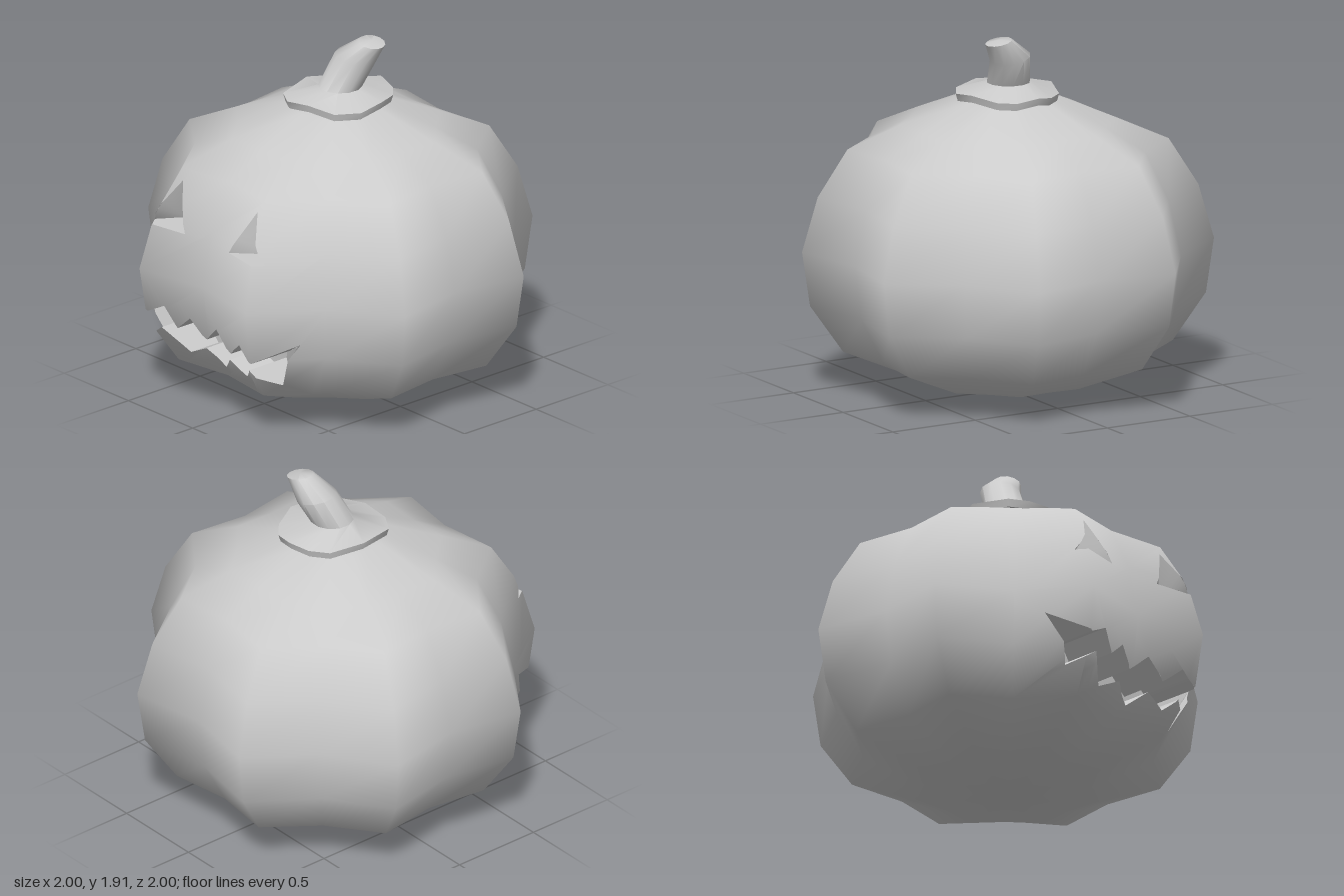
import * as THREE from 'three';
import { toCreasedNormals } from 'three/addons/utils/BufferGeometryUtils.js';

const V = (x, y, z = 0) => new THREE.Vector3(x, y, z);
const material = () => new THREE.MeshStandardMaterial({ color: 0xcccccc, side: THREE.DoubleSide });

function makeMesh(name, geometry) {
  const mesh = new THREE.Mesh(geometry, material());
  mesh.name = name;
  return mesh;
}

// Skin a stack of closed loops (bottom to top); a loop of one point closes an end
function loft(loops) {
  const n = Math.max(...loops.map((l) => l.length));
  const positions = [], index = [];
  loops.forEach((l) => {
    for (let j = 0; j < l.length; j++) positions.push(...l[j].toArray());
  });
  let start = 0;
  for (let i = 0; i < loops.length - 1; i++) {
    const lo = loops[i].length, hi = loops[i + 1].length;
    for (let j = 0; j < n; j++) {
      const k = (j + 1) % n;
      const a = start + (j % lo), b = start + (k % lo);
      const c = start + lo + (k % hi), d = start + lo + (j % hi);
      if (lo > 1) index.push(a, b, c);
      if (hi > 1) index.push(a, c, d);
    }
    start += lo;
  }
  const g = new THREE.BufferGeometry();
  g.setAttribute('position', new THREE.Float32BufferAttribute(positions, 3));
  g.setIndex(index);
  g.computeVertexNormals();
  return g;
}

// Eight-ribbed body: odd columns are ribs, even columns are grooves
function bodyTriangles() {
  const rings = [[0.455, 0.065, 0.9], [0.866, 0.23, 0.87], [1.04, 0.48, 0.856], [1.082, 0.77, 0.856],
    [1.0, 1.06, 0.86], [0.844, 1.31, 0.87], [0.574, 1.43, 0.9], [0.26, 1.56, 0.95]];
  const loops = rings.map(([r, y, groove]) => Array.from({ length: 16 }, (_, j) => {
    const t = j * Math.PI / 8, q = j % 2 ? r : r * groove;
    return V(q * Math.sin(t), y, q * Math.cos(t));
  }));
  const g = loft([[V(0, 0, 0)], ...loops, [V(0, 1.6, 0)]]).toNonIndexed();
  const { position, normal } = g.attributes, tris = [];
  for (let i = 0; i < position.count; i += 3) {
    tris.push([0, 1, 2].map((k) => ({
      p: new THREE.Vector3().fromBufferAttribute(position, i + k),
      n: new THREE.Vector3().fromBufferAttribute(normal, i + k),
    })));
  }
  return tris;
}

const cross2 = (a, b, p) => (b.x - a.x) * (p.y - a.y) - (b.y - a.y) * (p.x - a.x);

// Keep the part of a polygon on one side of the line a-b, seen from the front
function clip(poly, a, b, sign) {
  const out = [];
  poly.forEach((v, i) => {
    const w = poly[(i + 1) % poly.length];
    const dv = sign * cross2(a, b, v.p), dw = sign * cross2(a, b, w.p);
    if (dv >= 0) out.push(v);
    if (dv * dw < 0) {
      const t = dv / (dv - dw);
      out.push({ p: v.p.clone().lerp(w.p, t), n: v.n.clone().lerp(w.n, t) });
    }
  });
  return out;
}

function area(poly) {
  let s = 0;
  for (let i = 1; i < poly.length - 1; i++) s += cross2(poly[0].p, poly[i].p, poly[i + 1].p);
  return Math.abs(s);
}

// Remove a convex hole from a polygon, giving the remaining pieces
function subtract(poly, hole) {
  let inside = poly;
  const pieces = [];
  for (let i = 0; i < hole.length; i++) {
    const a = hole[i], b = hole[(i + 1) % hole.length];
    const outside = clip(inside, a, b, -1);
    if (outside.length > 2 && area(outside) > 1e-9) pieces.push(outside);
    inside = clip(inside, a, b, 1);
    if (inside.length < 3 || area(inside) < 1e-9) return [poly];
  }
  return pieces;
}

function triangulate(points) {
  return THREE.ShapeUtils.triangulateShape(points, []).map((f) => {
    const t = f.map((i) => points[i]);
    return cross2(t[0], t[1], t[2]) < 0 ? t.reverse() : t;
  });
}

// Depth of the front surface at (x, y)
function frontDepth(tris, x, y) {
  const q = V(x, y);
  for (const [a, b, c] of tris) {
    const total = cross2(a.p, b.p, c.p);
    if (total <= 1e-9) continue;
    const u = cross2(b.p, c.p, q) / total, v = cross2(c.p, a.p, q) / total, w = 1 - u - v;
    if (Math.min(u, v, w) >= -1e-6) return u * a.p.z + v * b.p.z + w * c.p.z;
  }
  return 0.7;
}

// Inner walls running from the hole's edge on the skin to the given back points
function pocketWalls(outline, depthAt, backAt) {
  const out = [], steps = 6;
  outline.forEach((a, i) => {
    const b = outline[(i + 1) % outline.length];
    for (let s = 0; s < steps; s++) {
      const [p, q] = [s, s + 1].map((k) => a.clone().lerp(b, k / steps));
      const pb = backAt(p), qb = backAt(q);
      p.z = depthAt(p.x, p.y);
      q.z = depthAt(q.x, q.y);
      out.push(p, q, qb, p, qb, pb);
    }
  });
  return out;
}

const fromPoints = (points) => toCreasedNormals(new THREE.BufferGeometry().setFromPoints(points), 0.4);

export function createModel() {
  const group = new THREE.Group();
  const tris = bodyTriangles();
  const front = tris.filter((t) => t.every((v) => v.p.z > 0.05));
  const depthAt = (x, y) => frontDepth(front, x, y);
  const toPoints = (list) => list.map(([x, y]) => V(x, y));

  // Mouth outline in three parts, so its back can fold toward both corners
  const mouthLeft = toPoints([[0.32, 0.385], [0.33, 0.4], [0.42, 0.3], [0.56, 0.57], [0.4, 0.47], [0.35, 0.51]]);
  const mouthRight = toPoints([[-0.35, 0.55], [-0.39, 0.53], [-0.55, 0.64], [-0.43, 0.37], [-0.32, 0.45]]);
  const upper = toPoints([[0.31, 0.55], [0.2, 0.455], [0.09, 0.56], [-0.02, 0.46], [-0.11, 0.56], [-0.2, 0.48], [-0.275, 0.59]]);
  const lower = toPoints([[-0.2, 0.32], [-0.06, 0.39], [0.04, 0.3], [0.14, 0.39], [0.26, 0.33]]);
  const middle = [mouthLeft[0], mouthLeft[5], ...upper, mouthRight[0], mouthRight[4], ...lower];
  const mouthOutline = [...mouthLeft, ...upper, ...mouthRight, ...lower];
  const mouthTris = [mouthLeft, middle, mouthRight].flatMap(triangulate);
  const mouthBack = (p) => {
    const t = THREE.MathUtils.clamp((Math.abs(p.x) - 0.34) / 0.21, 0, 1);
    return V(p.x, p.y, 0.64 + 0.12 * t);
  };

  // Triangular eyes
  const eyes = [1, -1].map((s) => {
    const pts = toPoints([[0.17 * s, 1.01], [0.43 * s, 1.01], [0.29 * s, 1.25]]);
    return s > 0 ? pts : pts.reverse();
  });

  // Body with the face cut out
  const holes = [...mouthTris, ...eyes];
  const positions = [], normals = [];
  tris.forEach((tri) => {
    let pieces = [tri];
    if (front.includes(tri)) holes.forEach((h) => { pieces = pieces.flatMap((p) => subtract(p, h)); });
    pieces.forEach((p) => {
      for (let i = 1; i < p.length - 1; i++) {
        [p[0], p[i], p[i + 1]].forEach((v) => {
          positions.push(...v.p.toArray());
          normals.push(...v.n.clone().normalize().toArray());
        });
      }
    });
  });
  const body = new THREE.BufferGeometry();
  body.setAttribute('position', new THREE.Float32BufferAttribute(positions, 3));
  body.setAttribute('normal', new THREE.Float32BufferAttribute(normals, 3));
  group.add(makeMesh('body', body));

  // Recesses behind the face
  group.add(makeMesh('mouthRecess', fromPoints(
    [...pocketWalls(mouthOutline, depthAt, mouthBack), ...mouthTris.flat().map(mouthBack)])));
  eyes.forEach((eye, i) => {
    const back = V(i ? -0.34 : 0.34, 1.01, 0.74);
    group.add(makeMesh(i ? 'rightEyeRecess' : 'leftEyeRecess',
      fromPoints(pocketWalls(eye, depthAt, () => back.clone()))));
  });

  // Stem with a wavy collar, skinned from the collar's underside to the tip
  const rim = [[0.05, 0.24], [0.2, 0.19], [0.275, 0.07], [0.27, -0.08], [0.2, -0.22], [0.12, -0.29],
    [0, -0.315], [-0.1, -0.27], [-0.19, -0.2], [-0.25, -0.02], [-0.2, 0.19], [-0.1, 0.25]];
  const wave = (j) => 0.013 * Math.cos(j * Math.PI * 2 / 3);
  const collar = (y, k) => rim.map(([x, z], j) => V(x * k, y + wave(j), z * k));
  const ring = (cx, cy, cz, r, tiltX, tiltZ) => rim.map((_, j) => {
    const t = (j + 0.4) * Math.PI / 6, dx = r * Math.sin(t), dz = r * Math.cos(t);
    return V(cx + dx, cy + dx * tiltX + dz * tiltZ, cz + dz);
  });
  const stem = loft([[V(0, 1.56, 0)], collar(1.565, 0.96), collar(1.605, 1), ring(0.01, 1.65, -0.02, 0.115, 0, 0),
    ring(0.045, 1.8, -0.095, 0.107, -0.2, 0.1), ring(0.135, 1.9, -0.13, 0.07, -0.2, 0), [V(0.135, 1.91, -0.13)]]);
  group.add(makeMesh('stem', toCreasedNormals(stem, 0.9)));
  return group;
}
